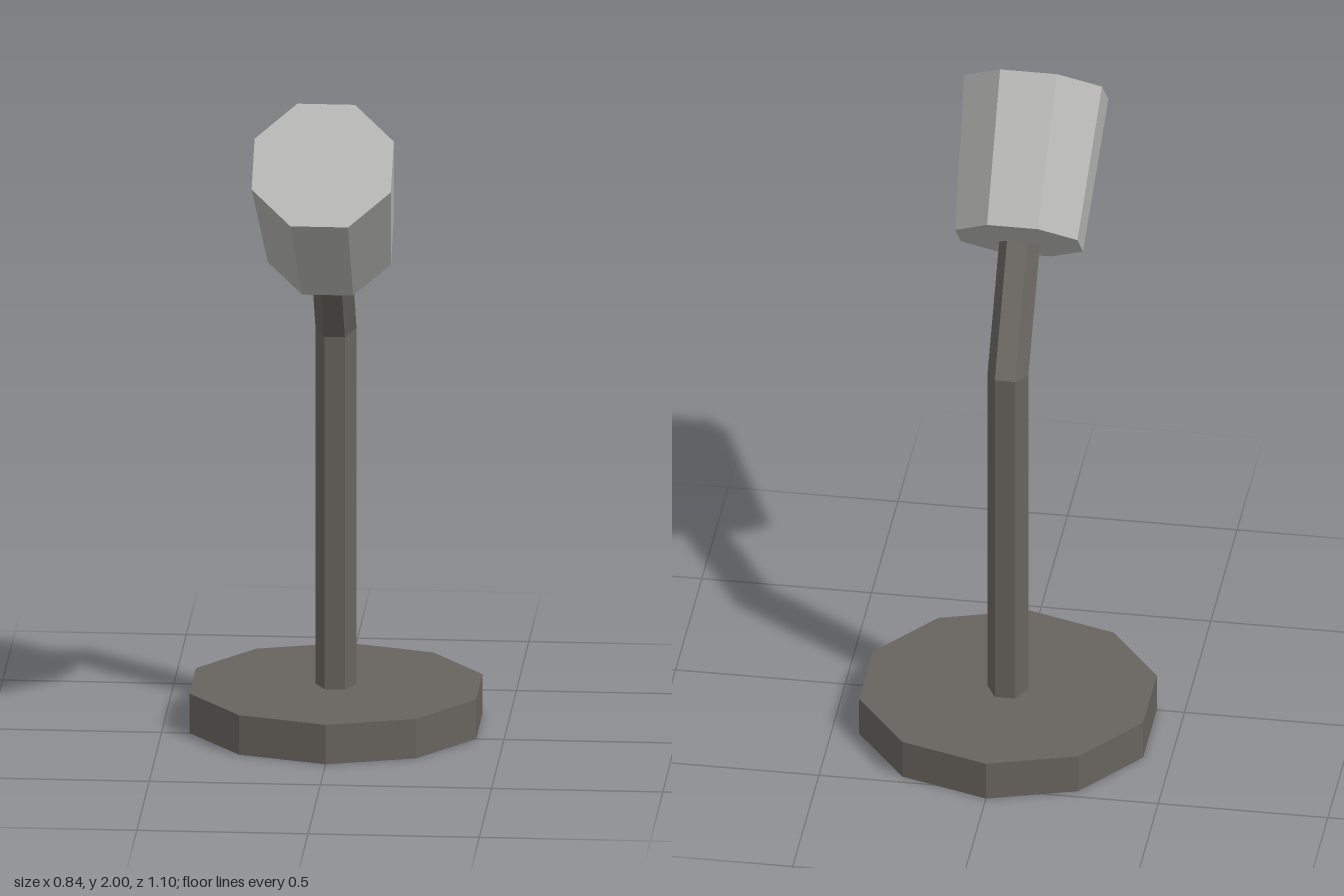
import * as THREE from 'three';

const baseGrey = new THREE.MeshStandardMaterial({ color: 0x67635e });
baseGrey.name = 'warm dark grey';
const shadeGrey = new THREE.MeshStandardMaterial({ color: 0xb3b3b1 });
shadeGrey.name = 'light grey';

// Faceted mesh: split the corners so that every face keeps its own normal
function facetedMesh(name, geometry, material) {
  const flat = geometry.toNonIndexed();
  flat.computeVertexNormals();
  const mesh = new THREE.Mesh(flat, material);
  mesh.name = name;
  return mesh;
}

// Bent six-sided stem: each ring has a centre and a half-depth vector in the yz plane
function stemGeometry() {
  const rings = [
    { y: 0.11, z: -0.13, dy: 0, dz: 0.058 },
    { y: 1.202, z: -0.131, dy: -0.0115, dz: 0.057 },
    { y: 1.515, z: 0.09, dy: -0.034, dz: 0.045 },
  ];
  const geometry = new THREE.CylinderGeometry(1, 1, 2, 6, 2, false, Math.PI / 2);
  const p = geometry.attributes.position;
  for (let i = 0; i < p.count; i++) {
    const ring = rings[Math.round(p.getY(i)) + 1];
    const depth = p.getZ(i) / Math.cos(Math.PI / 6);
    p.setXYZ(i, p.getX(i) * 0.06, ring.y + depth * ring.dy, ring.z + depth * ring.dz);
  }
  return geometry;
}

export function createModel() {
  const lamp = new THREE.Group();
  lamp.name = 'deskLamp';

  // Ten-sided foot
  const foot = new THREE.CylinderGeometry(1, 1, 0.12, 10);
  foot.scale(0.44, 1, 0.42).translate(0, 0.06, -0.13);
  lamp.add(facetedMesh('base', foot, baseGrey));

  lamp.add(facetedMesh('stem', stemGeometry(), baseGrey));

  // Eight-sided tapered shade, tilted forward and up
  const shade = new THREE.CylinderGeometry(0.22, 0.195, 0.46, 8, 1, false, Math.PI / 8);
  shade.rotateX(Math.PI / 4).translate(0, 1.692, 0.244);
  lamp.add(facetedMesh('shade', shade, shadeGrey));

  return lamp;
}
